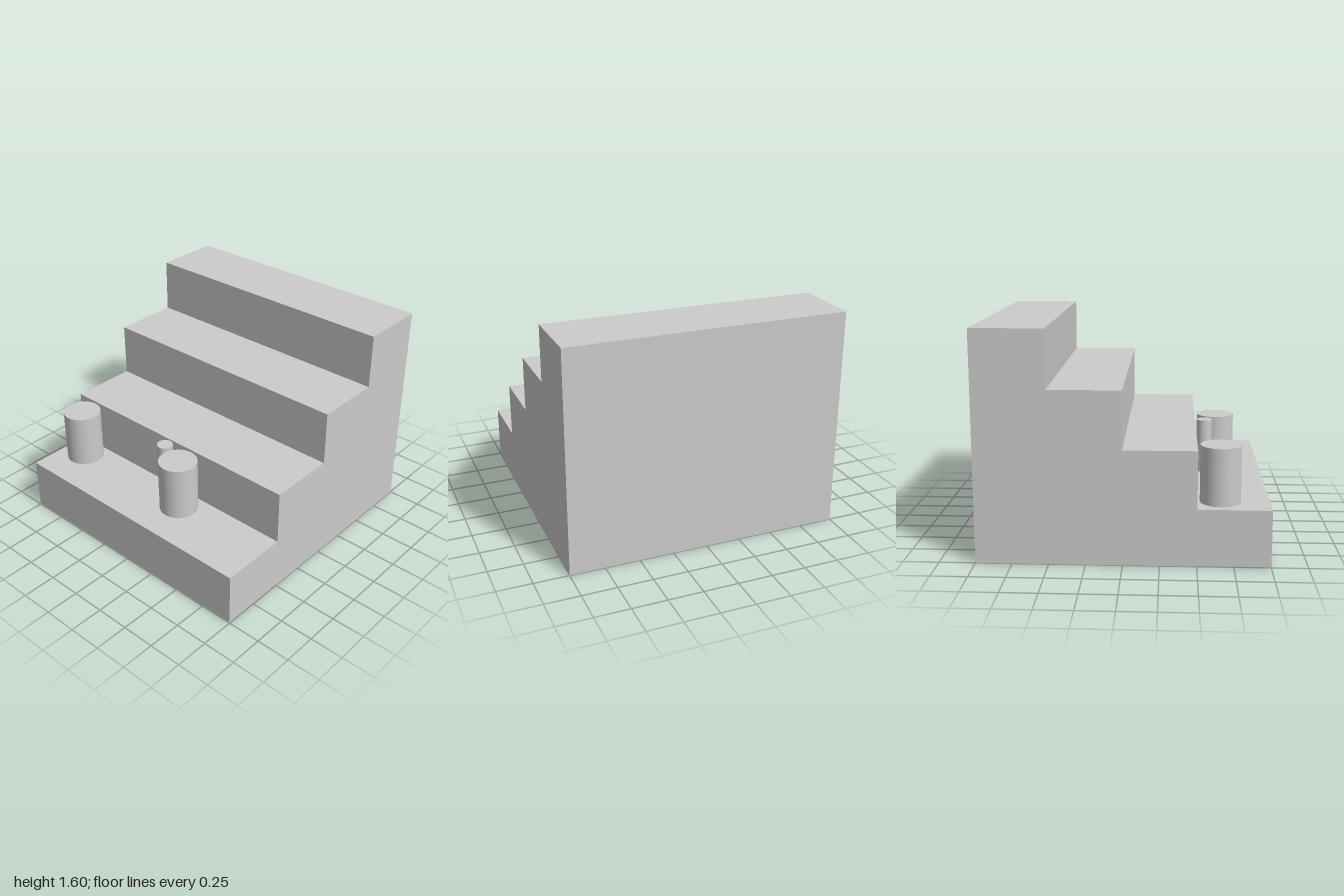
import * as THREE from 'three';

const material = new THREE.MeshStandardMaterial({ color: 0xcccccc });

function addPost(group, name, x, z, radius) {
  const post = new THREE.Mesh(new THREE.CylinderGeometry(radius, radius, 0.4, 64), material);
  post.name = name;
  post.position.set(x, 0.6, z);
  group.add(post);
}

export function createModel() {
  const group = new THREE.Group();
  group.name = 'steppedStand';

  // Side profile of the four steps: first coordinate runs from front to back.
  // The lowest step sits a hair above the ground.
  const steps = 4, rise = 0.4, run = 0.5, lip = 0.007;
  const profile = new THREE.Shape();
  profile.moveTo(-1, lip);
  profile.lineTo(-0.5, lip);
  profile.lineTo(-0.5, 0);
  profile.lineTo(1, 0);
  for (let i = steps; i > 0; i--) {
    profile.lineTo(-1 + i * run, i * rise);
    profile.lineTo(-1 + (i - 1) * run, i * rise);
  }
  profile.closePath();

  // Extrude across the width, then turn so the low step faces the front
  const geometry = new THREE.ExtrudeGeometry(profile, { depth: 2, bevelEnabled: false });
  geometry.translate(0, 0, -1);
  geometry.rotateY(Math.PI / 2);
  const stairs = new THREE.Mesh(geometry, material);
  stairs.name = 'stairs';
  group.add(stairs);

  // Round posts standing on the lowest step
  addPost(group, 'rightPost', -0.8, 0.66, 0.14);
  addPost(group, 'leftPost', 0.214, 0.66, 0.14);
  addPost(group, 'smallPost', 0, 0.57, 0.058);

  return group;
}
